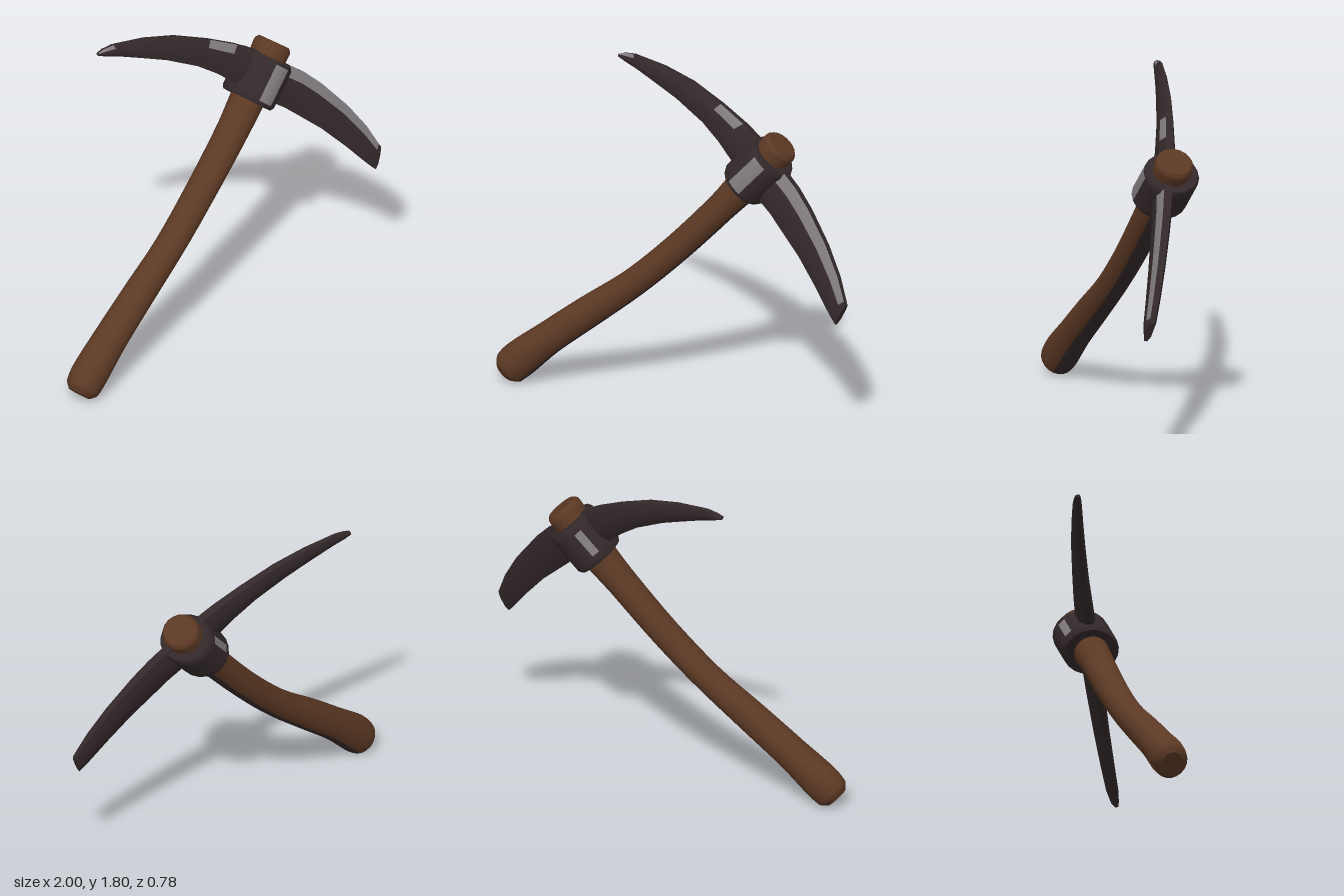
import * as THREE from 'three';
import { toCreasedNormals } from 'three/addons/utils/BufferGeometryUtils.js';

const V = (x, y, z) => new THREE.Vector3(x, y, z);
const mat = (name, color) => new THREE.MeshStandardMaterial({ name, color });

// Skins a list of rings, closes both ends; slot(i, j) picks the material of each quad
function loft(name, rings, mats, slot) {
  const tris = mats.map(() => []);
  const n = rings[0].length;
  const tri = (k, ...pts) => pts.forEach(p => tris[k].push(p.x, p.y, p.z));
  for (let i = 0; i < rings.length - 1; i++) {
    for (let j = 0; j < n; j++) {
      const a = rings[i][j], b = rings[i][(j + 1) % n];
      const c = rings[i + 1][(j + 1) % n], d = rings[i + 1][j];
      tri(slot(i, j), a, d, c);
      tri(slot(i, j), a, c, b);
    }
  }
  for (const [ring, flip] of [[rings[0], false], [rings[rings.length - 1], true]]) {
    const mid = V(0, 0, 0);
    ring.forEach(p => mid.addScaledVector(p, 1 / n));
    for (let j = 0; j < n; j++) {
      const p = ring[j], q = ring[(j + 1) % n];
      flip ? tri(0, mid, q, p) : tri(0, mid, p, q);
    }
  }
  const geo = new THREE.BufferGeometry();
  geo.setAttribute('position', new THREE.Float32BufferAttribute(tris.flat(), 3));
  let start = 0;
  tris.forEach((t, k) => {
    geo.addGroup(start, t.length / 3, k);
    start += t.length / 3;
  });
  const mesh = new THREE.Mesh(toCreasedNormals(geo, 0.6), mats);
  mesh.name = name;
  return mesh;
}

// Elliptical ring around an axis; angle 0 is the underside, 90 degrees the front
const SIDES = 20;
function ellipse(center, axis, rp, rz) {
  const p = V(axis.y, -axis.x, 0).normalize();
  return Array.from({ length: SIDES }, (_, j) => {
    const a = (j / SIDES) * Math.PI * 2;
    return center.clone().addScaledVector(p, Math.cos(a) * rp).add(V(0, 0, Math.sin(a) * rz));
  });
}

export function createModel() {
  const wood = mat('brown wood', 0x5c3924);
  const iron = mat('dark iron', 0x33282a);
  const shine = mat('grey worn metal', 0x7f7a7e);
  const model = new THREE.Group();
  model.name = 'pickaxe';

  // Handle: x, y, z, in-plane radius, depth radius
  const stations = [
    [-0.955, 0.055, -0.05, 0.065, 0.06],
    [-0.93, 0.08, -0.05, 0.095, 0.09],
    [-0.875, 0.135, -0.05, 0.102, 0.097],
    [-0.71, 0.28, -0.045, 0.089, 0.092],
    [-0.50, 0.45, -0.035, 0.086, 0.086],
    [-0.25, 0.65, -0.022, 0.077, 0.082],
    [-0.01, 0.88, -0.012, 0.077, 0.085],
    [0.23, 1.14, 0, 0.08, 0.09],
    [0.36, 1.29, 0, 0.092, 0.095],
    [0.46, 1.41, 0.003, 0.095, 0.098],
    [0.545, 1.515, 0.005, 0.099, 0.105],
    [0.562, 1.535, 0.005, 0.082, 0.088],
  ];
  const path = new THREE.CatmullRomCurve3(stations.map(s => V(s[0], s[1], s[2])));
  const radii = new THREE.CatmullRomCurve3(stations.map(s => V(s[3], s[4], 0)));
  const handleRings = [];
  const steps = (stations.length - 1) * 4;
  for (let i = 0; i <= steps; i++) {
    const r = radii.getPoint(i / steps);
    handleRings.push(ellipse(path.getPoint(i / steps), path.getTangent(i / steps), r.x, r.y));
  }
  // Dark strip along the underside, below the collar
  model.add(loft('handle', handleRings, [wood, iron],
    (i, j) => (i > 2 && i < 34 && (j < 2 || j >= SIDES - 2) ? 1 : 0)));

  // Collar: bevelled oval socket with worn patches on front and back
  const axis = V(0.67, 0.74, 0).normalize();
  const collarRings = [[-0.125, 0.92], [-0.105, 1], [-0.075, 1], [0.075, 1], [0.105, 1], [0.125, 0.92]]
    .map(([d, k]) => ellipse(V(0.43, 1.37, 0).addScaledVector(axis, d), axis, 0.137 * k, 0.155 * k));
  model.add(loft('collar', collarRings, [iron, shine], (i, j) => {
    const front = (j === 5 || j === 6) && i > 0 && i < 4;
    const back = j === 13 && i === 2;
    return front || back ? 1 : 0;
  }));

  // Head: outer x, y, inner x, y, half thickness, worn bevel up to the next station
  const blade = [
    [-0.42, 1.793, -0.422, 1.778, 0.012, 1],
    [-0.39, 1.804, -0.38, 1.762, 0.018, 1],
    [-0.33, 1.811, -0.31, 1.74, 0.022, 0],
    [-0.15, 1.79, -0.20, 1.697, 0.027, 0],
    [0.02, 1.748, -0.06, 1.64, 0.032, 0],
    [0.20, 1.672, 0.10, 1.555, 0.037, 1],
    [0.34, 1.60, 0.20, 1.48, 0.042, 0],
    [0.45, 1.53, 0.30, 1.385, 0.045, 0],
    [0.60, 1.40, 0.46, 1.235, 0.045, 1],
    [0.67, 1.34, 0.53, 1.18, 0.042, 1],
    [0.75, 1.25, 0.60, 1.11, 0.04, 1],
    [0.865, 1.09, 0.71, 1.00, 0.036, 1],
    [0.945, 0.945, 0.82, 0.865, 0.032, 1],
    [0.99, 0.83, 0.905, 0.75, 0.028, 0],
    [1.0, 0.81, 0.945, 0.70, 0.02, 0],
  ];
  // Bevelled section: fraction from outer to inner edge, thickness factor
  const section = [[1, 0.45], [0.72, 1], [0.28, 1], [0, 0.5], [0, -0.5], [0.28, -1], [0.72, -1], [1, -0.45]];
  // The blade lies in a plane twisted about the handle
  const normal = V(-0.332, 0.275, 1).normalize();
  const onPlane = (x, y) => V(x, y, 0.332 * x - 0.275 * y + 0.255);
  const headRings = blade.map(([ox, oy, ix, iy, h]) => section.map(([u, k]) =>
    onPlane(ox, oy).lerp(onPlane(ix, iy), u).addScaledVector(normal, h * k)));
  model.add(loft('pickHead', headRings, [iron, shine], (i, j) => (j === 2 && blade[i][5] ? 1 : 0)));

  return model;
}
